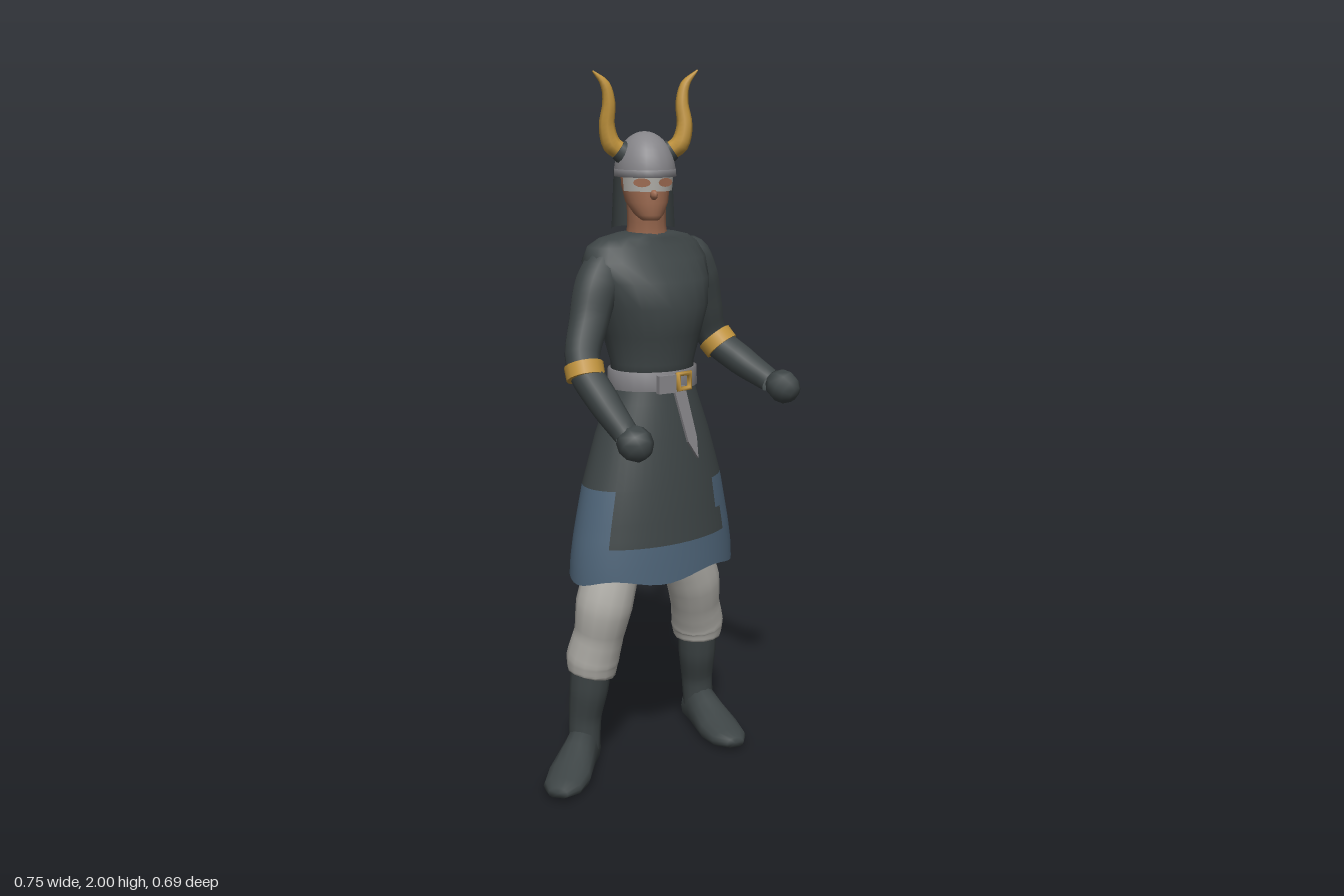
import * as THREE from 'three';
import { mergeVertices } from 'three/addons/utils/BufferGeometryUtils.js';

const mat = (name, color, side = THREE.FrontSide) => {
  const m = new THREE.MeshStandardMaterial({ color, side });
  m.name = name;
  return m;
};
const V = (p) => new THREE.Vector3(...p);

export function createModel() {
  const dark = mat('charcoal cloth', 0x3e4546, THREE.DoubleSide);
  const blue = mat('blue hem', 0x4e6478, THREE.DoubleSide);
  const pale = mat('pale trousers', 0xb5b3ad);
  const gold = mat('gold', 0xc0933c);
  const steel = mat('steel', 0x868589, THREE.DoubleSide);
  const skin = mat('skin', 0x9c6a50);

  const root = new THREE.Group();
  root.name = 'hornedWarrior';
  const add = (parent, name, geo, material, pos = [0, 0, 0]) => {
    const m = new THREE.Mesh(geo, material);
    m.name = name;
    m.position.set(...pos);
    parent.add(m);
    return m;
  };

  // Skin a list of rings; paint(row, column) may pick a material index
  function loft(rings, { caps = true, paint = null } = {}) {
    const n = rings[0].length, pos = rings.flat(2), faces = [[], []];
    for (let i = 0; i < rings.length - 1; i++) {
      for (let j = 0; j < n; j++) {
        const a = i * n + j, b = i * n + (j + 1) % n;
        faces[paint ? paint(i, j) : 0].push(a, b, a + n, b, b + n, a + n);
      }
    }
    if (caps) {
      [0, rings.length - 1].forEach((r, end) => {
        const c = pos.length / 3;
        for (let k = 0; k < 3; k++) pos.push(rings[r].reduce((s, p) => s + p[k], 0) / n);
        for (let j = 0; j < n; j++) {
          const a = r * n + j, b = r * n + (j + 1) % n;
          faces[0].push(c, end ? a : b, end ? b : a);
        }
      });
    }
    const g = new THREE.BufferGeometry();
    g.setAttribute('position', new THREE.Float32BufferAttribute(pos, 3));
    g.setIndex(faces.flat());
    g.computeVertexNormals();
    if (paint) {
      g.addGroup(0, faces[0].length, 0);
      g.addGroup(faces[0].length, faces[1].length, 1);
    }
    return g;
  }

  // Horizontal oval ring, starting at the front and going towards +x
  const oval = (y, a, b, dz = 0, n = 24) => Array.from({ length: n }, (_, j) => {
    const t = j / n * Math.PI * 2;
    return [a * Math.sin(t), y, b * Math.cos(t) + dz];
  });

  // Tapered tube: each control point is [x, y, z, radius]
  function limb(pts, sides = 12, per = 5) {
    const curve = new THREE.CatmullRomCurve3(pts.map((p) => V(p.slice(0, 3))));
    curve.getPointAt = curve.getPoint;
    curve.getTangentAt = curve.getTangent;
    const rows = (pts.length - 1) * per;
    let g = new THREE.TubeGeometry(curve, rows, 1, sides);
    const p = g.attributes.position, v = new THREE.Vector3();
    for (let i = 0; i <= rows; i++) {
      const k = Math.min(Math.floor(i / per), pts.length - 2);
      const r = THREE.MathUtils.lerp(pts[k][3], pts[k + 1][3], i / per - k);
      const c = curve.getPoint(i / rows);
      for (let j = 0; j <= sides; j++) {
        const q = i * (sides + 1) + j;
        v.fromBufferAttribute(p, q).sub(c).multiplyScalar(r).add(c);
        p.setXYZ(q, v.x, v.y, v.z);
      }
    }
    g.deleteAttribute('uv');
    g.deleteAttribute('normal');
    g = mergeVertices(g, 1e-5);
    g.computeVertexNormals();
    return g;
  }

  // Body, turned towards its left
  const body = new THREE.Group();
  body.name = 'body';
  body.position.set(-0.065, 0, -0.035);
  body.rotation.y = 0.7;
  root.add(body);

  add(body, 'tunicTop', loft([
    oval(1.12, 0.124, 0.104, 0.014), oval(1.2, 0.126, 0.107, 0.014), oval(1.28, 0.146, 0.13, 0.012),
    oval(1.36, 0.172, 0.147, 0.01), oval(1.43, 0.192, 0.14, -0.002), oval(1.485, 0.208, 0.115, -0.018),
    oval(1.525, 0.188, 0.094, -0.024), oval(1.546, 0.15, 0.08, -0.02), oval(1.558, 0.092, 0.068, -0.01),
    oval(1.562, 0.06, 0.05, -0.006),
  ]), dark);

  // Skirt rows: [height, half width, half depth, forward shift]
  const skirt = [[0.6, 0.275, 0.168, 0.01], [0.65, 0.272, 0.166, 0.01], [0.7, 0.264, 0.162, 0.01],
    [0.72, 0.26, 0.161, 0.01], [0.77, 0.249, 0.157, 0.01], [0.86, 0.228, 0.15, 0.011],
    [1.0, 0.181, 0.131, 0.012], [1.09, 0.145, 0.112, 0.014], [1.14, 0.126, 0.104, 0.014]];
  const hem = skirt.map((s, i) => oval(...s, 48).map(([x, h, z], j) =>
    [x, h + (i === 0 ? 0.01 * Math.sin(j * 0.655) : 0), z]));
  add(body, 'tunicSkirt', loft(hem, {
    caps: false,
    paint: (i, j) => {
      const low = i < 4 ? 1 : 0;
      const onSide = (j >= 4 + low && j < 17) || (j >= 30 - 2 * low && j < 40);
      return i < 2 || (i < 5 && onSide) ? 1 : 0;
    },
  }), [dark, blue]);

  // Belt, buckle and hanging strap
  add(body, 'belt', loft([oval(1.13, 0.127, 0.106, 0.014), oval(1.13, 0.137, 0.116, 0.014),
    oval(1.182, 0.135, 0.114, 0.014), oval(1.182, 0.124, 0.102, 0.014)], { caps: false }), steel);
  const buckle = add(body, 'buckle', new THREE.TorusGeometry(0.03, 0.009, 6, 4), gold, [0.012, 1.153, 0.134]);
  buckle.rotation.z = Math.PI / 4;
  add(body, 'beltLoop', new THREE.BoxGeometry(0.055, 0.05, 0.018), steel, [-0.045, 1.15, 0.125]).rotation.y = -0.2;
  const strap = new THREE.Shape([[-0.02, 0], [0.022, 0], [0.045, -0.15], [0.042, -0.21], [0.012, -0.16]]
    .map((p) => new THREE.Vector2(...p)));
  const strapMesh = add(body, 'beltStrap', new THREE.ExtrudeGeometry(strap, { depth: 0.008, bevelEnabled: false }),
    steel, [-0.005, 1.14, 0.125]);
  strapMesh.rotation.x = -0.17;

  // Arms with cuffs and fists
  const arms = {
    right: { path: [[-0.13, 1.475, 0.0, 0.035], [-0.172, 1.48, 0.035, 0.06], [-0.208, 1.42, 0.08, 0.064],
      [-0.23, 1.33, 0.118, 0.056], [-0.246, 1.225, 0.18, 0.047], [-0.19, 1.13, 0.235, 0.044], [-0.13, 1.05, 0.28, 0.035]],
      cuff: [-0.241, 1.205, 0.192], dir: [0.05, -0.25, 0.12], fist: [-0.107, 1.03, 0.298], aim: [0.15, -0.2, 0.13] },
    left: { path: [[0.01, 1.475, -0.13, 0.035], [0.05, 1.48, -0.163, 0.06], [0.076, 1.42, -0.193, 0.064],
      [0.098, 1.33, -0.224, 0.056], [0.125, 1.235, -0.25, 0.047], [0.21, 1.165, -0.2, 0.045], [0.29, 1.115, -0.14, 0.035]],
      cuff: [0.143, 1.215, -0.243], dir: [0.15, -0.19, 0.08], fist: [0.325, 1.103, -0.113], aim: [0.19, -0.12, 0.14] },
  };
  const up = new THREE.Vector3(0, 1, 0);
  for (const [side, a] of Object.entries(arms)) {
    add(root, side + 'Arm', limb(a.path), dark);
    const cuff = add(root, side + 'Cuff', new THREE.CylinderGeometry(0.053, 0.054, 0.038, 16), gold, a.cuff);
    cuff.quaternion.setFromUnitVectors(up, V(a.dir).normalize());
    const fist = add(root, side + 'Fist', new THREE.SphereGeometry(0.05, 8, 6), dark, a.fist);
    fist.scale.set(0.95, 1.05, 1);
    fist.quaternion.setFromUnitVectors(up, V(a.aim).normalize());
  }

  // Trousers and boots
  const legs = {
    right: { trousers: [[-0.14, 0.78, 0.03, 0.075], [-0.172, 0.62, 0.065, 0.078], [-0.197, 0.51, 0.078, 0.082],
      [-0.213, 0.42, 0.066, 0.072], [-0.232, 0.34, 0.05, 0.077], [-0.236, 0.297, 0.046, 0.07], [-0.237, 0.294, 0.046, 0]],
      boot: [[-0.236, 0.33, 0.048, 0.06], [-0.245, 0.24, 0.042, 0.057], [-0.257, 0.15, 0.03, 0.048], [-0.26, 0.05, 0.028, 0.046]],
      heel: [-0.25, 0, -0.025], yaw: -0.24 },
    left: { trousers: [[0.0, 0.78, -0.08, 0.075], [0.035, 0.62, -0.12, 0.078], [0.065, 0.51, -0.163, 0.081],
      [0.075, 0.42, -0.2, 0.074], [0.083, 0.345, -0.238, 0.08], [0.084, 0.302, -0.243, 0.072], [0.084, 0.299, -0.243, 0]],
      boot: [[0.084, 0.33, -0.24, 0.06], [0.084, 0.24, -0.255, 0.057], [0.085, 0.15, -0.28, 0.048], [0.09, 0.05, -0.287, 0.046]],
      heel: [0.07, 0, -0.338], yaw: 0.38 },
  };
  // Foot sections from heel to toe: [distance, half width, height, lift]
  const sole = [[0, 0.028, 0.07, 0.015], [0.02, 0.044, 0.1, 0], [0.08, 0.049, 0.125, 0], [0.14, 0.056, 0.1, 0],
    [0.21, 0.064, 0.072, 0], [0.28, 0.056, 0.05, 0.005], [0.325, 0.028, 0.03, 0.014]];
  const foot = loft(sole.map(([z, w, h, lift]) => Array.from({ length: 14 }, (_, j) => {
    const t = j / 14 * Math.PI * 2;
    return [w * Math.cos(t), lift + Math.max(0, h * (0.4 + 0.6 * Math.sin(t))), z];
  })));
  for (const [side, l] of Object.entries(legs)) {
    add(root, side + 'Trouser', limb(l.trousers, 14), pale);
    add(root, side + 'Boot', limb(l.boot), dark);
    add(root, side + 'Foot', foot, dark, l.heel).rotation.y = l.yaw;
  }

  // Head, neck and helmet
  add(root, 'neck', limb([[-0.07, 1.52, -0.035, 0.062], [-0.071, 1.58, -0.025, 0.054], [-0.072, 1.66, -0.015, 0.054]]), skin);
  const head = new THREE.Group();
  head.name = 'head';
  head.position.set(-0.075, 0, -0.01);
  head.rotation.y = 0.25;
  root.add(head);

  add(head, 'face', loft([oval(1.598, 0.024, 0.022, 0.056), oval(1.612, 0.04, 0.042, 0.042),
    oval(1.645, 0.058, 0.07, 0.018), oval(1.69, 0.066, 0.082, 0.005), oval(1.76, 0.068, 0.085, 0)]), skin);
  const nose = add(head, 'nose', new THREE.SphereGeometry(0.014, 8, 6), skin, [0, 1.668, 0.093]);
  nose.scale.set(0.8, 1, 1.2);

  const dome = new THREE.SphereGeometry(1, 24, 10, 0, Math.PI * 2, 0, Math.PI / 2);
  dome.scale(0.084, 0.115, 0.103);
  add(head, 'helmet', dome, steel, [0, 1.72, -0.002]);
  add(head, 'helmetRim', loft([oval(1.714, 0.075, 0.092), oval(1.714, 0.085, 0.104),
    oval(1.734, 0.084, 0.103), oval(1.734, 0.076, 0.093)], { caps: false }), steel);

  // Curved face guard with eye openings
  const guard = new THREE.CylinderGeometry(0.076, 0.072, 0.045, 20, 1, true, -1.25, 2.5);
  guard.scale(1, 1, 1.24);
  add(head, 'faceGuard', guard, pale, [0, 1.699, 0.004]);
  for (const s of [-1, 1]) {
    const eye = add(head, s < 0 ? 'rightEyeOpening' : 'leftEyeOpening', new THREE.CircleGeometry(0.02, 12),
      skin, [s * 0.033, 1.701, 0.092]);
    eye.rotation.y = s * 0.42;
    eye.scale.set(1.2, 0.6, 1);
  }
  const curtain = new THREE.CylinderGeometry(0.083, 0.09, 0.16, 24, 3, true, 1.65, 2 * Math.PI - 3.3);
  curtain.scale(1, 1, 1.22);
  add(head, 'neckCurtain', curtain, dark, [0, 1.65, -0.008]);

  // Horns with dark sockets
  const horns = {
    right: [[-0.135, 1.778, 0.012, 0.024], [-0.165, 1.8, 0.016, 0.026], [-0.178, 1.85, 0.022, 0.022],
      [-0.172, 1.91, 0.03, 0.018], [-0.182, 1.96, 0.037, 0.013], [-0.215, 1.995, 0.044, 0.002]],
    left: [[-0.012, 1.778, -0.012, 0.024], [0.02, 1.8, -0.012, 0.026], [0.034, 1.85, -0.014, 0.022],
      [0.027, 1.91, -0.018, 0.018], [0.036, 1.96, -0.023, 0.013], [0.07, 1.998, -0.029, 0.002]],
  };
  for (const [side, h] of Object.entries(horns)) {
    add(root, side + 'Horn', limb(h, 8, 4), gold);
    const base = add(root, side + 'HornSocket', new THREE.CylinderGeometry(0.029, 0.034, 0.03, 12), dark, h[0].slice(0, 3));
    base.quaternion.setFromUnitVectors(up, V(h[1]).sub(V(h[0])).normalize());
  }
  return root;
}
